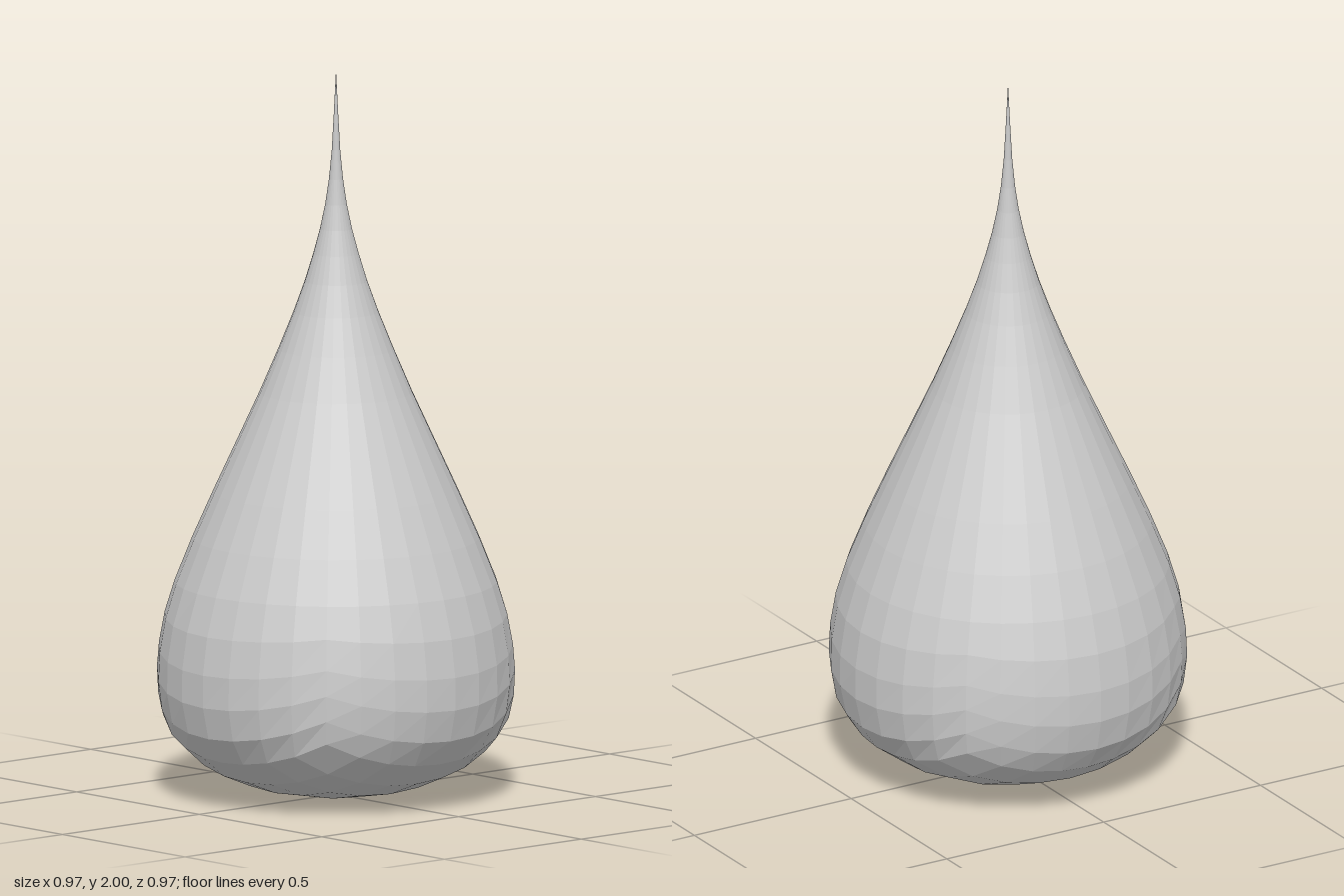
import * as THREE from 'three';

// Teardrop outline from the underside centre to the tip: (radius, height)
const outline = new THREE.CatmullRomCurve3([
  [0, 0], [0.13, 0.01], [0.24, 0.033], [0.34, 0.075], [0.42, 0.135], [0.465, 0.2],
  [0.485, 0.28], [0.488, 0.35], [0.481, 0.43], [0.465, 0.51], [0.436, 0.6], [0.4, 0.69],
  [0.32, 0.87], [0.2, 1.13], [0.1, 1.375], [0.06, 1.5], [0.035, 1.6], [0.019, 1.7],
  [0.01, 1.8], [0.005, 1.9], [0, 2],
].map(([r, y]) => new THREE.Vector3(r, y, 0)));
outline.arcLengthDivisions = 1000;
const LENGTH = outline.getLength();

const N = 8; // cells along each edge of the square underside patch
const RIM = 0.45; // distance along the outline to the middle of a patch edge

// Surface point at a distance along the outline and an angle around the axis
function surfacePoint(s, angle) {
  const p = outline.getPointAt(Math.min(s / LENGTH, 1));
  return [p.x * Math.cos(angle), p.y, p.x * Math.sin(angle)];
}

// Point of the underside patch, spread like one face of a rounded cube
function undersidePoint(i, j) {
  const a = Math.tan((i / N - 0.5) * Math.PI / 2);
  const b = Math.tan((j / N - 0.5) * Math.PI / 2);
  const polar = Math.atan(Math.hypot(a, b));
  return surfacePoint(RIM * polar / (Math.PI / 4), Math.atan2(b, a));
}

// Triangulate a grid of points given as rows
function addGrid(positions, indices, rows) {
  const start = positions.length / 3;
  const width = rows[0].length;
  rows.forEach((row) => row.forEach((p) => positions.push(...p)));
  for (let r = 0; r < rows.length - 1; r++) {
    for (let c = 0; c < width - 1; c++) {
      const a = start + r * width + c;
      const b = a + 1, d = a + width, e = d + 1;
      indices.push(a, d, b, b, d, e);
    }
  }
}

export function createModel() {
  const group = new THREE.Group();
  group.name = 'teardrop';
  const positions = [], indices = [];

  // Underside: square patch wrapped over the rounded bottom
  const underside = [];
  for (let j = 0; j <= N; j++) {
    underside.push(Array.from({ length: N + 1 }, (_, i) => undersidePoint(i, N - j)));
  }
  addGrid(positions, indices, underside.map((row) => row.slice().reverse()).reverse()
    .map((row) => row.slice().reverse()));

  // Sides: rings that start on the patch rim and level out towards the tip
  const ringDistances = [RIM, 0.535, 0.625, 0.715, 0.82, 0.93, 1.06, 1.2, 1.35, 1.5, 1.63,
    1.74, 1.83, 1.91, 1.98, 2.05, 2.12, 2.2, 2.3, LENGTH];
  const sides = ringDistances.map((s, k) => {
    const row = [];
    for (let c = 0; c <= 4 * N; c++) {
      const angle = (c / (4 * N)) * Math.PI * 2;
      const local = ((c + N / 2) % N) / N - 0.5; // position within one quarter
      const edge = Math.atan(Math.hypot(1, Math.tan(local * Math.PI / 2)));
      const lift = RIM * (edge / (Math.PI / 4) - 1);
      row.push(surfacePoint(s + lift * Math.max(0, 1 - k / 5), angle));
    }
    return row;
  });
  addGrid(positions, indices, sides);

  const geometry = new THREE.BufferGeometry();
  geometry.setAttribute('position', new THREE.Float32BufferAttribute(positions, 3));
  geometry.setIndex(indices);
  geometry.computeVertexNormals();
  const drop = new THREE.Mesh(
    geometry.toNonIndexed(),
    new THREE.MeshStandardMaterial({ color: 0xcccccc, flatShading: true, side: THREE.DoubleSide }),
  );
  drop.geometry.computeVertexNormals();
  drop.name = 'dropBody';
  group.add(drop);
  return group;
}
